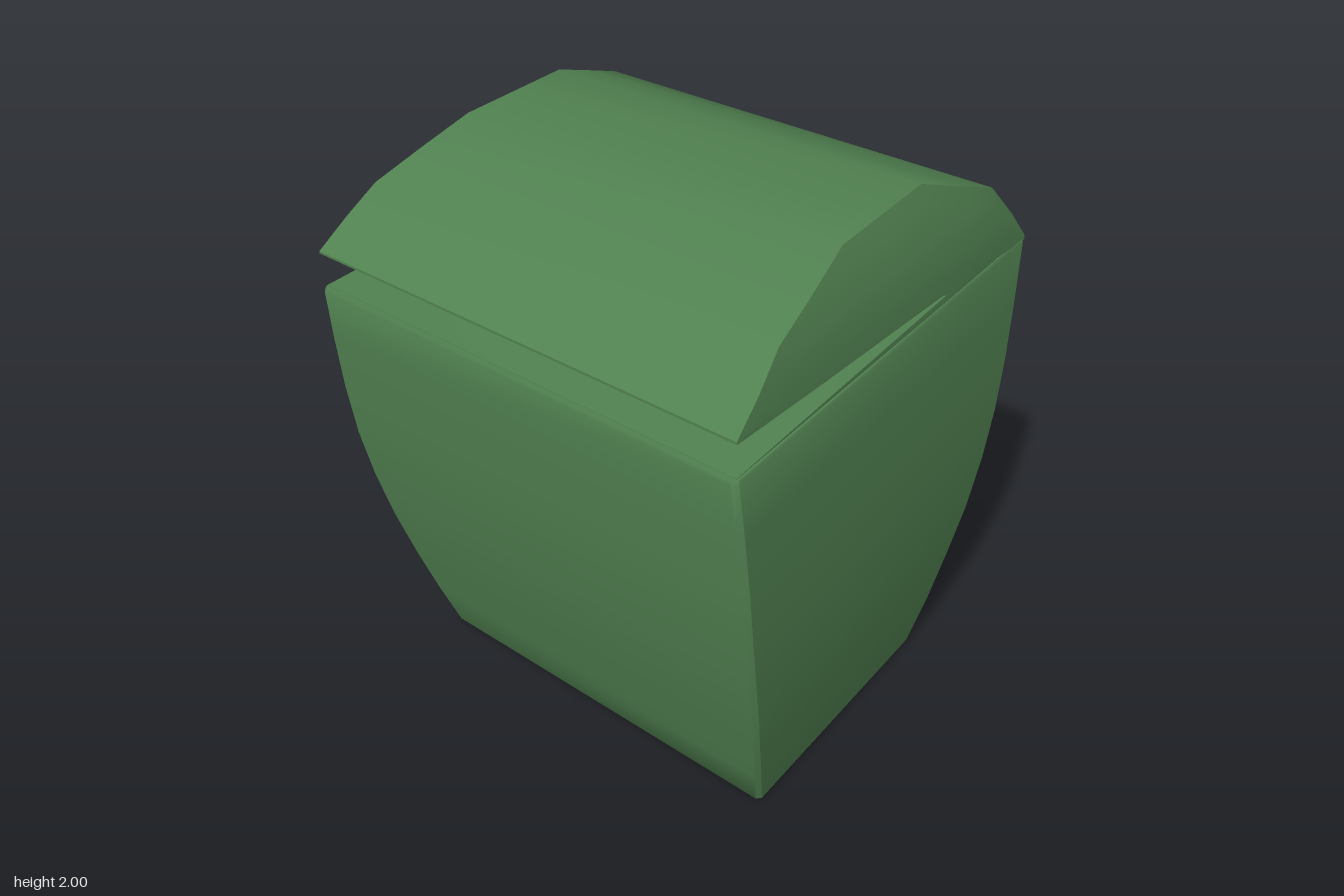
import * as THREE from 'three';
import { toCreasedNormals } from 'three/addons/utils/BufferGeometryUtils.js';

const material = new THREE.MeshStandardMaterial({ color: 0x508050 });

// Joins equal-length rings of [x, y, z] points and closes both ends.
function loft(name, rings, crease = 0.6) {
  const n = rings[0].length, pos = [], index = [];
  rings.forEach(r => r.forEach(p => pos.push(...p)));
  for (let k = 0; k < rings.length - 1; k++) {
    for (let i = 0; i < n; i++) {
      const a = k * n + i, b = k * n + (i + 1) % n;
      index.push(a, b, b + n, a, b + n, a + n);
    }
  }
  const last = (rings.length - 1) * n;
  for (let i = 1; i < n - 1; i++) {
    index.push(0, i + 1, i, last, last + i, last + i + 1);
  }
  const g = new THREE.BufferGeometry();
  g.setAttribute('position', new THREE.Float32BufferAttribute(pos, 3));
  g.setIndex(index);
  const mesh = new THREE.Mesh(toCreasedNormals(g, crease), material);
  mesh.name = name;
  return mesh;
}

// Linear lookup in a list of [key, value] pairs with rising keys.
function lookup(table, t) {
  let i = 1;
  while (i < table.length - 1 && t > table[i][0]) i++;
  const [a, b] = [table[i - 1], table[i]];
  return THREE.MathUtils.lerp(a[1], b[1], THREE.MathUtils.clamp((t - a[0]) / (b[0] - a[0]), 0, 1));
}

// Horizontal rectangle with trimmed corners; front and back may differ in height.
function bodyRing([y, front, back, w, yBack = y], c = 0.015) {
  const plan = [
    [-w + c, front], [w - c, front], [w, front - c], [w, back + c],
    [w - c, back], [-w + c, back], [-w, back + c], [-w, front - c],
  ];
  return plan.map(([x, z]) => [x, THREE.MathUtils.mapLinear(z, back, front, yBack, y), z]);
}

function createBody() {
  // height, front z, back z, half width, height at the back
  const sections = [
    [0, 0.475, -0.475, 0.70], [0.012, 0.487, -0.487, 0.712],
    [0.2, 0.545, -0.545, 0.745], [0.4, 0.603, -0.60, 0.772],
    [0.6, 0.655, -0.648, 0.797], [0.8, 0.70, -0.69, 0.811],
    [1.0, 0.735, -0.718, 0.818], [1.2, 0.758, -0.74, 0.816],
    [1.4, 0.776, -0.762, 0.806], [1.58, 0.79, -0.784, 0.793, 1.615],
    [1.59, 0.786, -0.784, 0.788, 1.625],
  ];
  return loft('body', sections.map(s => bodyRing(s)));
}

function createLid() {
  const crown = [[-0.785, 1.63], [-0.57, 1.87], [-0.22, 2.0], [0.2, 1.987], [0.56, 1.87], [0.78, 1.715]];
  const underside = [[-0.785, 1.615], [-0.28, 1.65], [0.43, 1.685], [0.78, 1.707]];
  const halfWidth = [[1.6, 0.79], [1.71, 0.785], [1.8, 0.77], [1.87, 0.75], [1.95, 0.718], [2.0, 0.692]];
  const stations = [-0.785, -0.68, -0.57, -0.4, -0.22, 0, 0.2, 0.38, 0.56, 0.67, 0.78];
  const rings = stations.map(z => {
    const top = lookup(crown, z), bottom = lookup(underside, z), right = [];
    for (let i = 0; i <= 5; i++) {
      const y = THREE.MathUtils.lerp(bottom, top, i / 5);
      right.push([lookup(halfWidth, y), y, z]);
    }
    return [...right, ...right.map(([x, y]) => [-x, y, z]).reverse()];
  });
  return loft('lid', rings);
}

// Core inside the slit: a ramp behind the front lip, tapering out to both sides.
function createHinge() {
  const ring = (y, xFront, zFront, xBack) => [
    [-xFront, y, zFront], [xFront, y, zFront], [xBack, y, -0.28],
    [xBack, y, -0.6], [-xBack, y, -0.6], [-xBack, y, -0.28],
  ];
  return loft('innerHinge', [
    ring(1.575, 0.78, 0.77, 0.785), ring(1.592, 0.78, 0.77, 0.785),
    ring(1.64, 0.45, 0.43, 0.785), ring(1.70, 0.45, 0.43, 0.78),
  ]);
}

export function createModel() {
  const model = new THREE.Group();
  model.name = 'liddedBox';
  model.add(createBody(), createLid(), createHinge());
  return model;
}
